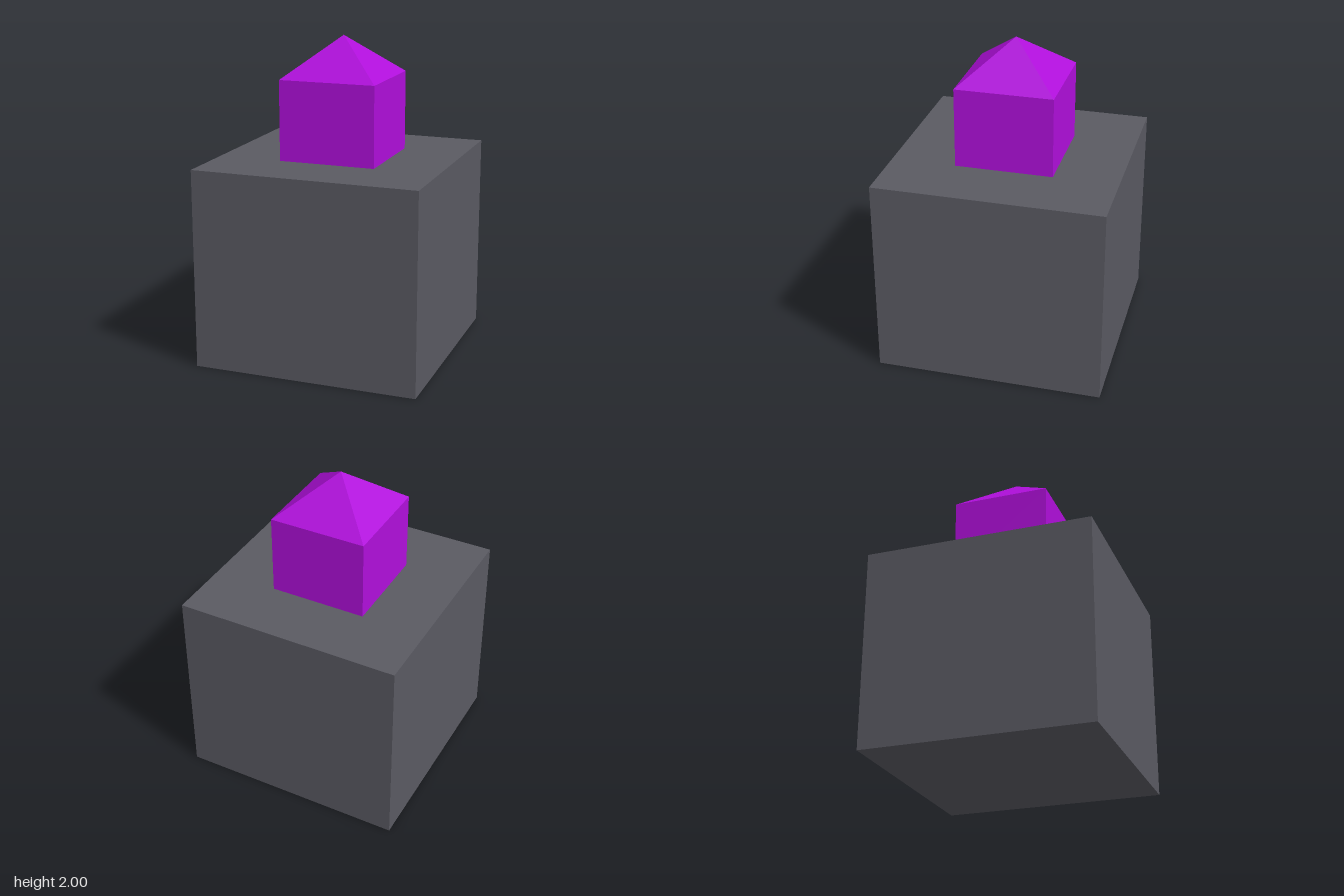
import * as THREE from 'three';

export function createModel() {
  const model = new THREE.Group();

  const darkGrey = new THREE.MeshStandardMaterial({ color: 0x5a5a62 });
  darkGrey.name = 'darkGrey';
  const purple = new THREE.MeshStandardMaterial({ color: 0xb00fdb });
  purple.name = 'purple';

  // Four-sided column with its corners on the x and z axes, standing on y = bottom
  function addColumn(name, material, topRadius, radius, bottom, height, open = false) {
    const geometry = new THREE.CylinderGeometry(topRadius, radius, height, 4, 1, open).toNonIndexed();
    geometry.computeVertexNormals(); // flat faces
    const mesh = new THREE.Mesh(geometry, material);
    mesh.name = name;
    mesh.position.y = bottom + height / 2;
    model.add(mesh);
  }

  addColumn('base', darkGrey, 1, 1, 0, 1.25);
  addColumn('tower', purple, 0.43, 0.43, 1.25, 0.5, true);
  addColumn('roof', purple, 0, 0.43, 1.75, 0.25, true);

  return model;
}
